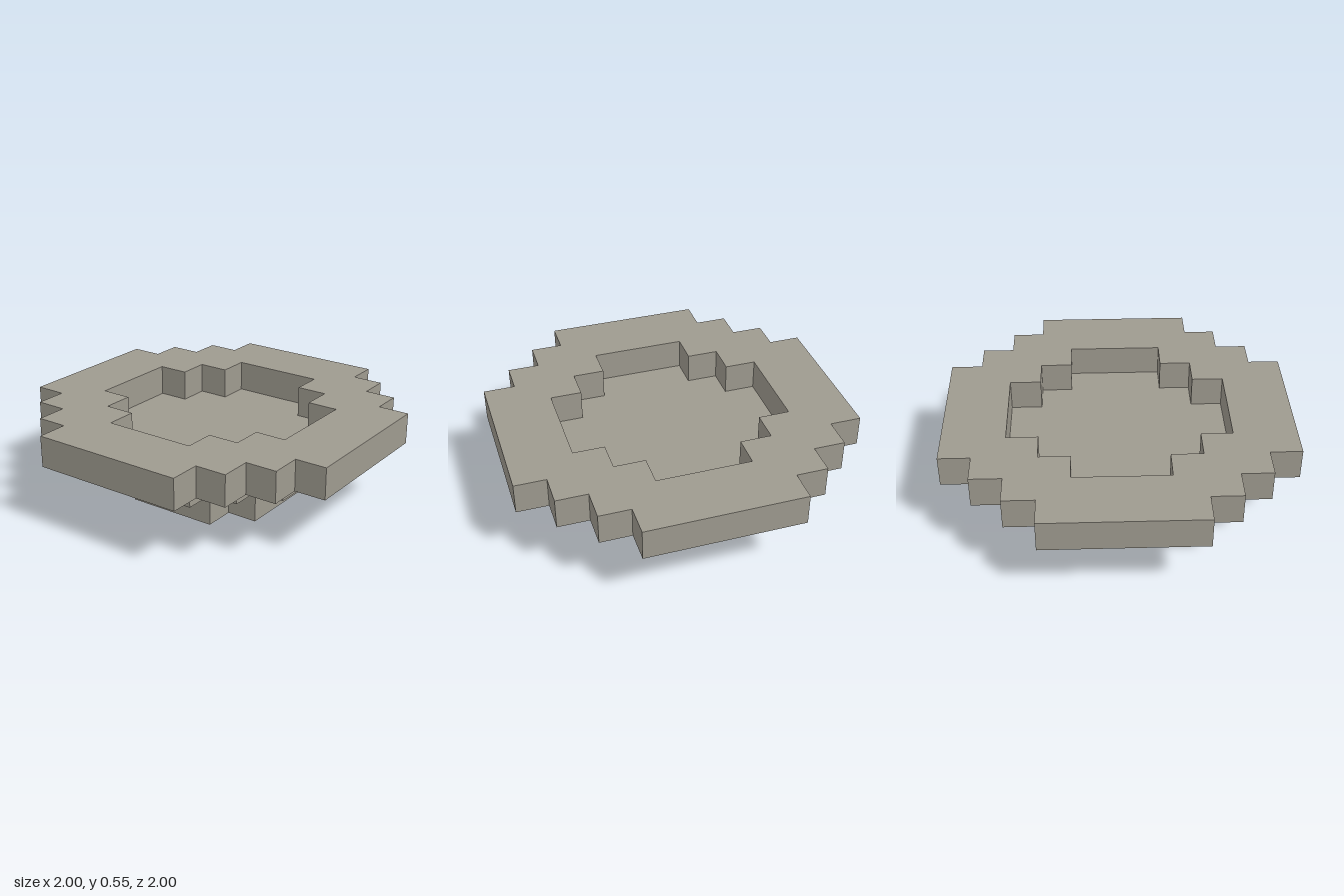
import * as THREE from 'three';

const U = 2 / 11; // one block

// Stepped round outline, mirrored into all four quadrants.
// corners: outer [x, z] block corners of one quadrant, from the +x side to the +z side.
function steppedPoints(corners) {
  const quadrant = [];
  corners.forEach(([x, z], i) => {
    if (i > 0) quadrant.push([x, corners[i - 1][1]]); // inner corner
    quadrant.push([x, z]);
  });
  const flipped = [...quadrant].reverse();
  return [
    ...quadrant,
    ...flipped.map(([x, z]) => [-x, z]),
    ...quadrant.map(([x, z]) => [-x, -z]),
    ...flipped.map(([x, z]) => [x, -z]),
  ].map(([x, z]) => new THREE.Vector2(x * U, z * U));
}

// One block-high layer standing on the given level
function layer(name, level, outline, material, hole) {
  const shape = new THREE.Shape(steppedPoints(outline));
  if (hole) shape.holes.push(new THREE.Path(steppedPoints(hole)));
  const geometry = new THREE.ExtrudeGeometry(shape, { depth: U, bevelEnabled: false });
  geometry.rotateX(-Math.PI / 2);
  const mesh = new THREE.Mesh(geometry, material);
  mesh.name = name;
  mesh.position.y = level * U;
  return mesh;
}

export function createModel() {
  const stone = new THREE.MeshStandardMaterial({ color: 0x9e9a8f });
  stone.name = 'stone';

  const small = [[2.5, 1.5], [1.5, 2.5]];
  const medium = [[3.5, 1.5], [2.5, 2.5], [1.5, 3.5]];
  const large = [[5.5, 2.5], [4.5, 3.5], [3.5, 4.5], [2.5, 5.5]];

  const model = new THREE.Group();
  model.name = 'steppedBasin';
  model.add(
    layer('foot', 0, small, stone),
    layer('basinFloor', 1, medium, stone),
    layer('rim', 2, large, stone, medium),
  );
  return model;
}
